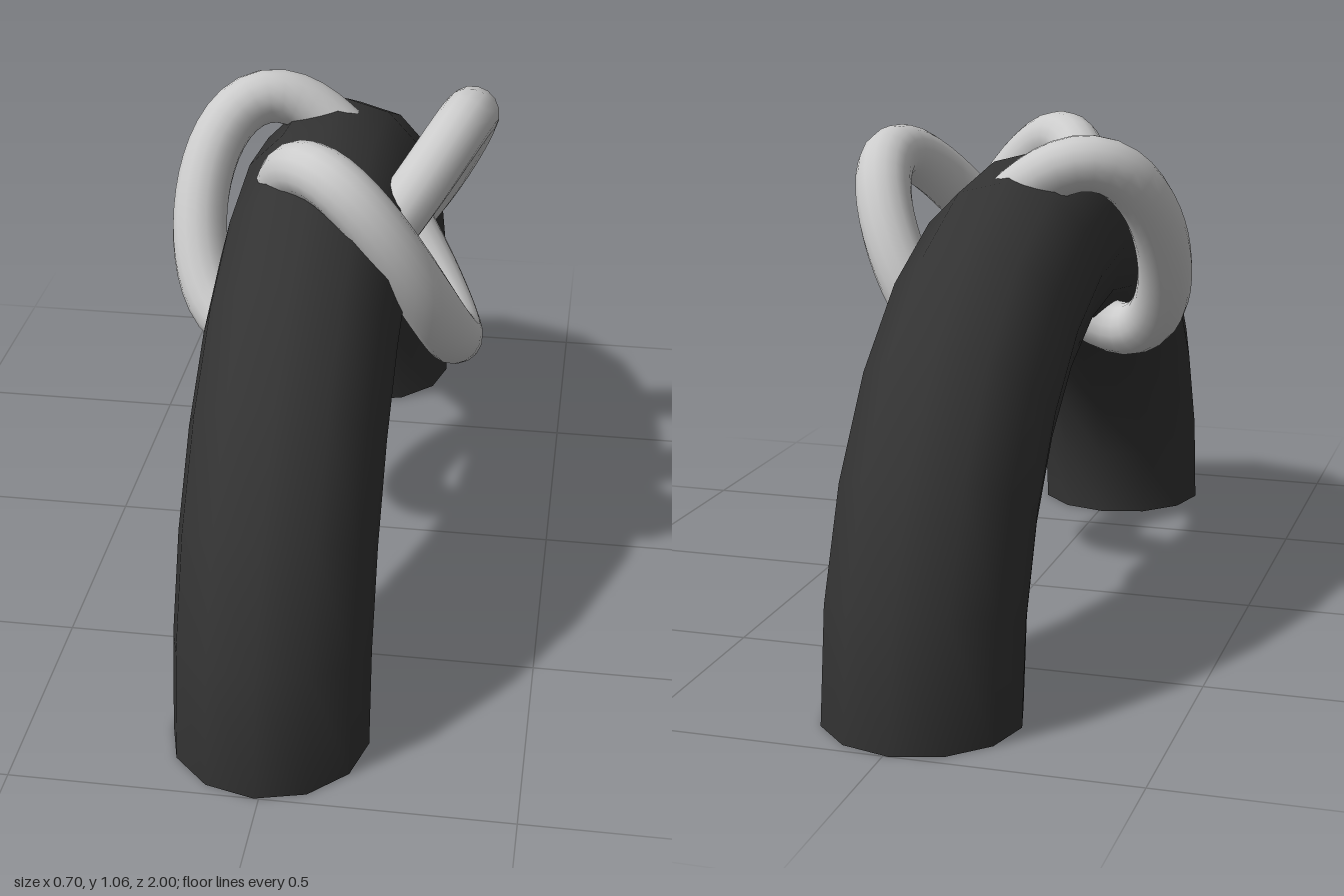
import * as THREE from 'three';

// Three-lobed closed knot winding round a vertical axis
class KnotCurve extends THREE.Curve {
  getPoint(t, target = new THREE.Vector3()) {
    const a = t * Math.PI * 2;
    const wide = 0.24, narrow = 0.095, rise = 0.21;
    return target.set(
      -(wide * Math.cos(2 * a) + narrow * Math.cos(a)),
      rise * Math.sin(3 * a),
      -(wide * Math.sin(2 * a) - narrow * Math.sin(a))
    );
  }
}

export function createModel() {
  const model = new THREE.Group();

  // Half-ring arch, open at both feet
  const arch = new THREE.Mesh(
    new THREE.TorusGeometry(0.8, 0.2, 12, 12, Math.PI),
    new THREE.MeshStandardMaterial({ color: 0x333333, side: THREE.DoubleSide })
  );
  arch.name = 'arch';
  arch.rotation.y = Math.PI / 2;
  arch.position.x = -0.01;
  model.add(arch);

  // Knot wrapped through the crown of the arch
  const knot = new THREE.Mesh(
    new THREE.TubeGeometry(new KnotCurve(), 120, 0.06, 16, true),
    new THREE.MeshStandardMaterial({ color: 0xcccccc })
  );
  knot.name = 'knot';
  knot.position.set(0.04, 0.79, 0);
  model.add(knot);

  return model;
}
